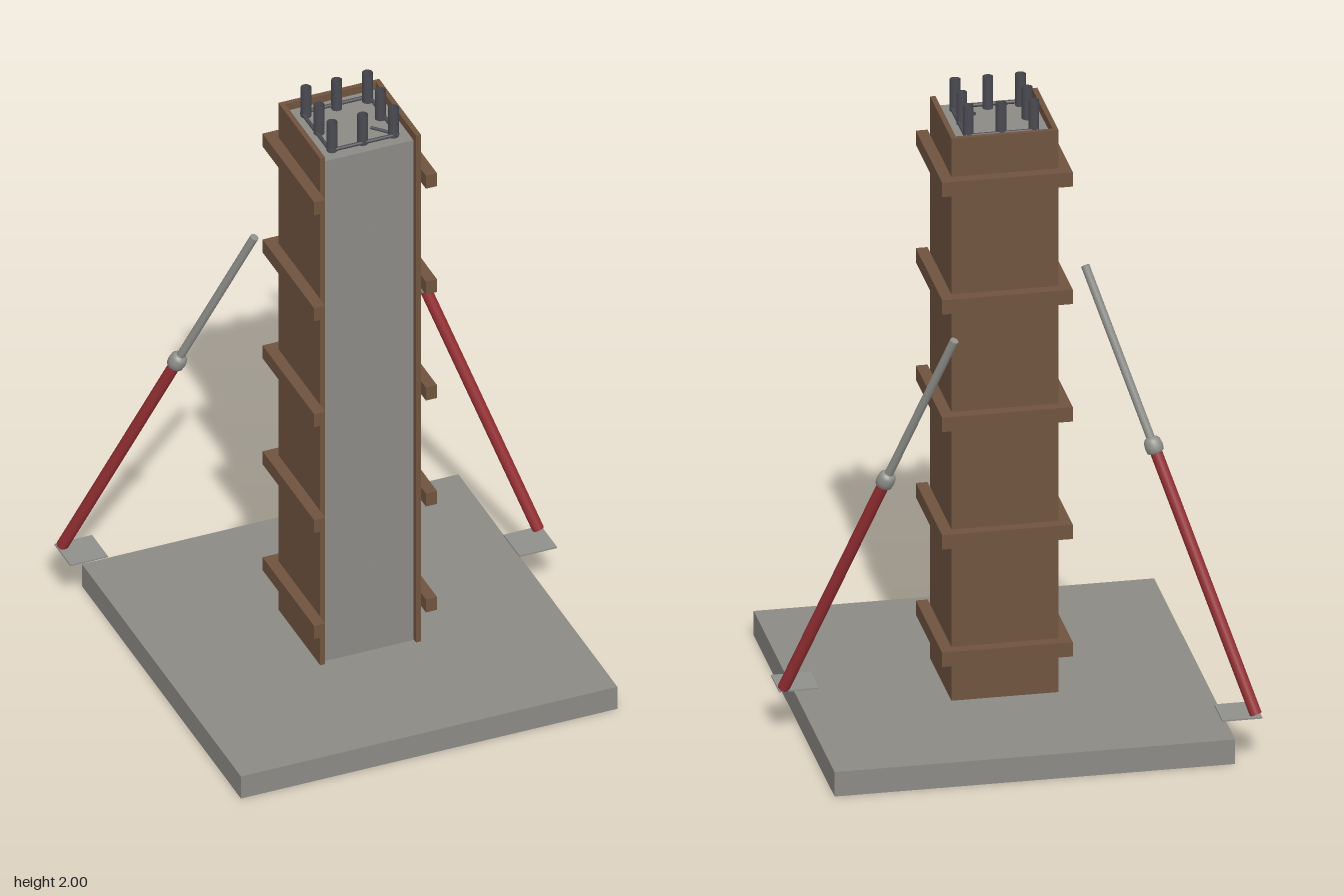
import * as THREE from 'three';

const mat = (name, color, side = THREE.FrontSide) => {
  const m = new THREE.MeshStandardMaterial({ color, side });
  m.name = name;
  return m;
};

export function createModel() {
  const model = new THREE.Group();
  model.name = 'columnFormwork';
  const concrete = mat('concrete', 0x8c8a85);
  const timber = mat('timber', 0x70543f);
  const rebar = mat('rebarSteel', 0x4a4a52, THREE.DoubleSide);
  const red = mat('redPaint', 0x952f33);
  const steel = mat('galvanizedSteel', 0x8f8f8b);
  const CZ = 0.013; // column centre in z

  const add = (name, geometry, material, parent = model) => {
    const mesh = new THREE.Mesh(geometry, material);
    mesh.name = name;
    parent.add(mesh);
    return mesh;
  };
  // Box given by its minimum and maximum corners
  const box = (name, a, b, material, parent) => {
    const size = b.map((v, i) => v - a[i]);
    const mesh = add(name, new THREE.BoxGeometry(...size), material, parent);
    mesh.position.set(...a.map((v, i) => v + size[i] / 2));
    return mesh;
  };
  // Cylinder between two points
  const rod = (name, a, b, r, material, parent, open = false) => {
    const dir = b.clone().sub(a);
    const mesh = add(name, new THREE.CylinderGeometry(r, r, dir.length(), 16, 1, open), material, parent);
    mesh.position.copy(a).addScaledVector(dir, 0.5);
    mesh.quaternion.setFromUnitVectors(new THREE.Vector3(0, 1, 0), dir.normalize());
    return mesh;
  };
  const v = (x, y, z) => new THREE.Vector3(x, y, z);

  // Base slab and concrete column
  box('slab', [-0.613, 0, -0.6], [0.613, 0.08, 0.626], concrete);
  box('column', [-0.146, 0.08, -0.133], [0.146, 1.897, 0.159], concrete);
  for (const y of [0.4, 1.01, 1.62]) {
    const dot = add('surfaceDot', new THREE.CylinderGeometry(0.004, 0.004, 0.004, 10), concrete);
    dot.rotation.x = Math.PI / 2;
    dot.position.set(0, y, 0.16);
  }

  // Timber panels on three sides
  for (const s of [-1, 1]) {
    const panel = box('sidePanel', [-0.008, 0.08, -0.148], [0.008, 1.922, 0.174], timber);
    panel.position.x = s * 0.156;
  }
  box('backPanel', [-0.148, 0.08, -0.148], [0.148, 1.922, -0.133], timber);

  // U-shaped yokes, open to the front
  for (let i = 0; i < 5; i++) {
    const yoke = new THREE.Group();
    yoke.name = 'yoke';
    yoke.position.y = 0.233 + i * 0.385;
    for (const s of [-1, 1]) {
      const arm = box('yokeArm', [-0.018, -0.0235, -0.185], [0.018, 0.0235, 0.213], timber, yoke);
      arm.position.x = s * 0.182;
    }
    box('yokeBack', [-0.164, -0.0235, -0.185], [0.164, 0.0235, -0.148], timber, yoke);
    model.add(yoke);
  }

  // Starter bars around the perimeter
  for (let i = -1; i <= 1; i++) {
    for (let j = -1; j <= 1; j++) {
      if (!i && !j) continue;
      const x = i * 0.1, z = CZ + j * 0.1;
      rod('starterBar', v(x, 1.88, z), v(x, 2, z), 0.0165, rebar, model, true);
    }
  }

  // Stirrup with its hook
  const h = 0.11, corners = [[-h, -h], [h, -h], [h, h], [-h, h]];
  corners.forEach(([x, z], i) => {
    const [x2, z2] = corners[(i + 1) % 4];
    rod('stirrup', v(x, 1.905, CZ + z), v(x2, 1.905, CZ + z2), 0.006, rebar);
  });
  rod('stirrupHook', v(0.105, 1.905, CZ + 0.105), v(0.05, 1.905, CZ + 0.045), 0.005, rebar);

  // Telescopic props: red outer tube, collar, inner tube and foot plate
  const collarProfile = [[0.018, -0.026], [0.026, -0.02], [0.028, -0.004], [0.026, 0.014], [0.02, 0.022], [0.012, 0.026]]
    .map(p => new THREE.Vector2(...p));
  const prop = (name, foot, head, plateX, plateZ) => {
    const group = new THREE.Group();
    group.name = name;
    const mid = foot.clone().lerp(head, 0.6);
    rod('outerTube', foot, mid, 0.0185, red, group);
    const inner = rod('innerTube', mid, head, 0.013, steel, group);
    const collar = add('collar', new THREE.LatheGeometry(collarProfile, 20), steel, group);
    collar.position.copy(mid);
    collar.quaternion.copy(inner.quaternion);
    box('footPlate', [plateX - 0.061, 0.153, plateZ - 0.061], [plateX + 0.061, 0.158, plateZ + 0.061], steel, group);
    model.add(group);
  };
  prop('rightProp', v(-0.675, 0.16, -0.606), v(-0.248, 1.465, -0.134), -0.63, -0.565);
  prop('leftProp', v(0.675, 0.16, -0.132), v(0.248, 1.465, -0.606), 0.63, -0.086);

  return model;
}
